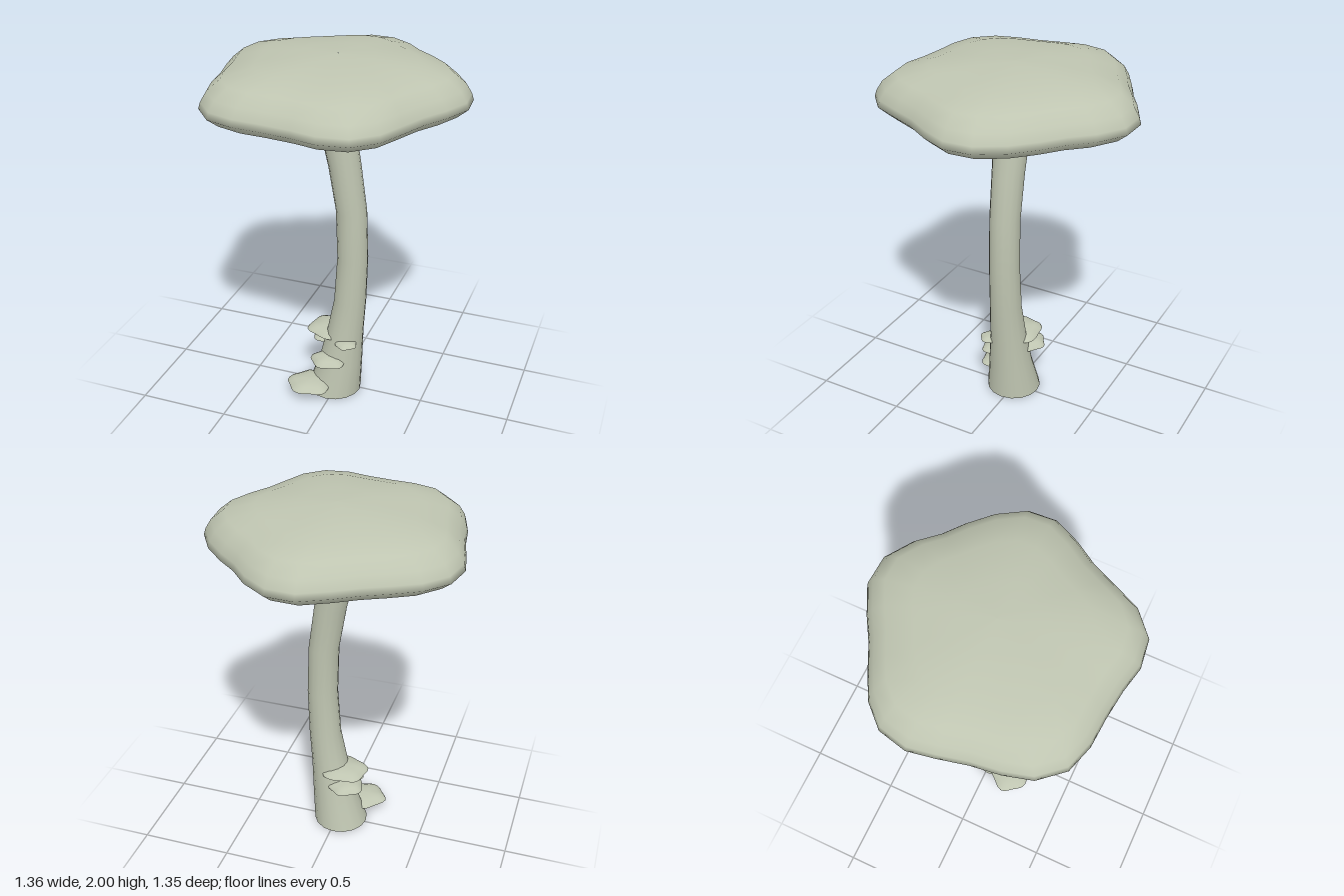
import * as THREE from 'three';

const skin = new THREE.MeshStandardMaterial({ color: 0xbfc5b1 });
skin.name = 'pale mushroom';

// Five-lobed rim seen from above, as [x, z], anticlockwise
const outline = [
  [0.675, 0.01], [0.665, -0.14], [0.58, -0.28], [0.47, -0.39], [0.365, -0.475], [0.27, -0.58], [0.135, -0.67],
  [-0.015, -0.677], [-0.16, -0.605], [-0.285, -0.53], [-0.41, -0.47], [-0.54, -0.4], [-0.645, -0.29], [-0.68, -0.14],
  [-0.655, 0], [-0.62, 0.15], [-0.6, 0.3], [-0.56, 0.445], [-0.455, 0.565], [-0.31, 0.61], [-0.16, 0.62],
  [0, 0.64], [0.135, 0.67], [0.29, 0.65], [0.405, 0.55], [0.47, 0.41], [0.53, 0.275], [0.61, 0.15],
];

// Smooth skin through closed rings of [x, y, z] points
function loft(rings) {
  const n = rings[0].length, index = [];
  for (let i = 0; i < rings.length - 1; i++) {
    for (let j = 0; j < n; j++) {
      const k = (j + 1) % n;
      const a = i * n + j, b = i * n + k, c = (i + 1) * n + k, d = (i + 1) * n + j;
      index.push(a, b, c, a, c, d);
    }
  }
  const g = new THREE.BufferGeometry();
  g.setAttribute('position', new THREE.Float32BufferAttribute(rings.flat(2), 3));
  g.setIndex(index);
  g.computeVertexNormals();
  return g;
}

const circle = (cx, y, cz, r, n = 16) => Array.from({ length: n }, (_, j) => {
  const a = (j / n) * Math.PI * 2;
  return [cx + r * Math.cos(a), y, cz - r * Math.sin(a)];
});

// Scaled rim; the lobes fade out toward the middle
const lobed = ([s, y]) => outline.map(([x, z]) => {
  const f = s * THREE.MathUtils.lerp(0.64 / Math.hypot(x, z), 1, Math.min(1, s * 1.3));
  return [x * f, y, z * f];
});

function part(name, geometry) {
  const mesh = new THREE.Mesh(geometry, skin);
  mesh.name = name;
  return mesh;
}

export function createModel() {
  const model = new THREE.Group();
  model.name = 'mushroom';

  // Cap: domed top and shallow underside meeting at a sharp edge
  const top = [[0.92, 1.745], [1, 1.79], [0.985, 1.825], [0.94, 1.875], [0.84, 1.93], [0.62, 1.972], [0.3, 1.995], [0.001, 2]];
  const under = [[0.001, 1.67], [0.15, 1.67], [0.33, 1.697], [0.6, 1.722], [0.92, 1.745]];
  const cap = new THREE.Group();
  cap.name = 'cap';
  cap.add(part('capTop', loft(top.map(lobed))), part('capUnderside', loft(under.map(lobed))));
  model.add(cap);

  // Curved stem as [y, centre x, radius]
  const stem = [
    [0, -0.017, 0.153], [0.2, 0.022, 0.123], [0.4, 0.05, 0.102], [0.6, 0.077, 0.089], [0.87, 0.09, 0.084],
    [1.15, 0.081, 0.083], [1.4, 0.043, 0.087], [1.69, -0.012, 0.098],
  ];
  model.add(part('stem', loft(stem.map(([y, x, r]) => circle(x, y, 0.015, r)))));

  // Recessed foot of the stem
  const foot = [[0.001, 0.03], [0.1, 0.03], [0.153, 0]];
  model.add(part('stemFoot', loft(foot.map(([r, y]) => circle(-0.017, y, 0.015, r)))));

  // Bracket fungi around the lower stem: centre, half widths, turn
  const shelfTop = [[1, -0.008], [0.94, 0.003], [0.7, 0.018], [0.35, 0.025], [0.001, 0.026]];
  const shelfUnder = [[0.001, -0.026], [0.4, -0.024], [0.75, -0.018], [1, -0.008]];
  const shelfParts = [shelfTop, shelfUnder].map((p) => loft(p.map(lobed)));
  const shelves = [
    [-0.115, 0.078, 0.145, 0.13, 0.115, 0.4],
    [-0.018, 0.24, 0.115, 0.102, 0.09, 1.7],
    [-0.07, 0.295, -0.055, 0.1, 0.095, 2.6],
    [-0.04, 0.375, -0.015, 0.14, 0.12, 0.9],
    [0.085, 0.362, 0.11, 0.06, 0.06, 3.3],
  ];
  shelves.forEach(([x, y, z, rx, rz, turn]) => {
    const shelf = new THREE.Group();
    shelf.name = 'bracketFungus';
    const disc = new THREE.Group();
    disc.add(part('bracketTop', shelfParts[0]), part('bracketUnderside', shelfParts[1]));
    disc.rotation.y = turn;
    shelf.add(disc);
    shelf.position.set(x, y, z);
    shelf.scale.set(rx / 0.67, rx < 0.08 ? 0.6 : 1, rz / 0.67);
    model.add(shelf);
  });
  return model;
}
